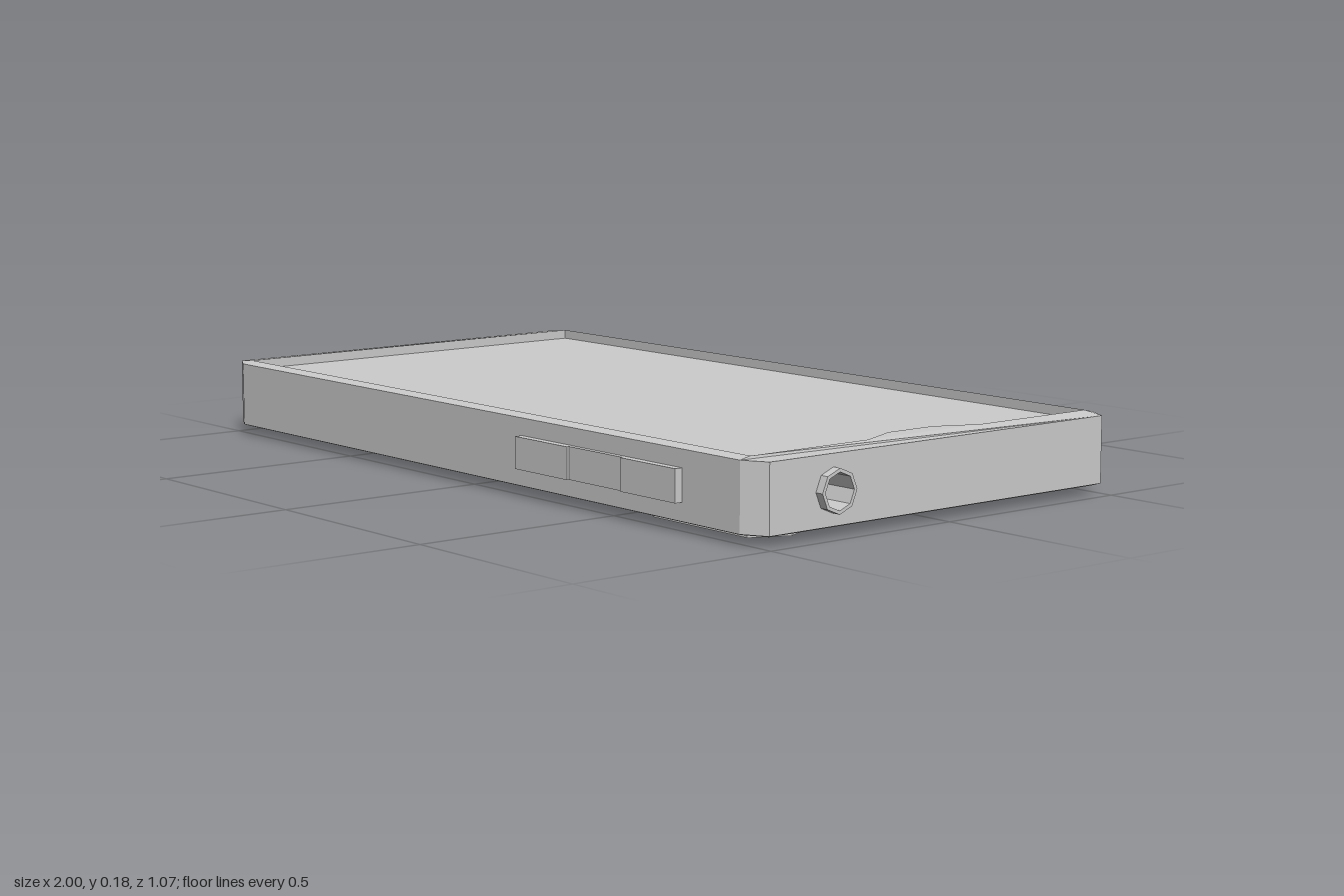
import * as THREE from 'three';

const material = new THREE.MeshStandardMaterial({ color: 0xcccccc, flatShading: true, side: THREE.DoubleSide });
const X0 = -1, X1 = 0.98, Z = 0.5175, ZEND = 0.487, CUT = 0.055; // case outline
const Y0 = 0.025, Y1 = 0.176, TOP = 0.182, BOTTOM = 0.02, SCREEN = 0.16;

function add(parent, name, geometry) {
  const mesh = new THREE.Mesh(geometry, material);
  mesh.name = name;
  parent.add(mesh);
  return mesh;
}

const toShape = (pts) => new THREE.Shape(pts.map(([x, y]) => new THREE.Vector2(x, y)));

function shapeWithHole(outer, hole) {
  const shape = toShape(outer);
  if (hole) shape.holes.push(new THREE.Path(hole.map(([x, y]) => new THREE.Vector2(x, y))));
  return shape;
}

// Band of quads between two matching counter-clockwise loops at heights za and zb
function band(a, za, b, zb, keep = () => true) {
  const pos = [];
  a.forEach((p, i) => {
    const j = (i + 1) % a.length;
    if (!keep(p, a[j])) return;
    const [A, B, C, D] = [[...p, za], [...a[j], za], [...b[j], zb], [...b[i], zb]];
    pos.push(...A, ...B, ...C, ...A, ...C, ...D);
  });
  const g = new THREE.BufferGeometry();
  g.setAttribute('position', new THREE.Float32BufferAttribute(pos, 3));
  g.computeVertexNormals();
  return g;
}

// Rectangle with clipped corners
const clipped = (x0, x1, h, hEnd, cut) => [
  [x1, -hEnd], [x1, hEnd], [x1 - cut, h], [x0 + cut, h],
  [x0, hEnd], [x0, -hEnd], [x0 + cut, -h], [x1 - cut, -h],
];

const octagon = (cx, cy, r) => Array.from({ length: 8 }, (_, i) => {
  const a = i * Math.PI / 4;
  return [cx + r * Math.cos(a), cy + r * Math.sin(a)];
});

// End wall with a blind hole; local +z points out of the case
function endWall(name, x, turn, hole, depth) {
  const group = new THREE.Group();
  group.name = name;
  const rect = [[-ZEND, Y0], [ZEND, Y0], [ZEND, Y1], [-ZEND, Y1]];
  add(group, name + 'Face', new THREE.ShapeGeometry(shapeWithHole(rect, hole)));
  add(group, name + 'HoleSides', band(hole, 0, hole, -depth));
  add(group, name + 'HoleFloor', new THREE.ShapeGeometry(toShape(hole)).translate(0, 0, -depth));
  group.position.x = x;
  group.rotation.y = turn;
  return group;
}

export function createModel() {
  const model = new THREE.Group();
  model.name = 'phoneCase';

  // Case shell, drawn in plan with height along z and then laid flat
  const shell = new THREE.Group();
  shell.name = 'shell';
  shell.rotation.x = -Math.PI / 2;
  model.add(shell);

  const outer = clipped(X0, X1, Z, ZEND, CUT);
  const under = clipped(X0 + 0.015, X1 - 0.015, Z - 0.015, ZEND - 0.012, CUT);
  const inner = [
    [0.925, -0.49], [0.925, -0.165], [0.88, -0.065], [0.88, 0.065],
    [0.925, 0.165], [0.925, 0.49], [-0.945, 0.49], [-0.945, -0.49],
  ];
  add(shell, 'sideWalls', band(outer, Y0, outer, Y1, (p, q) => p[0] !== q[0]));
  add(shell, 'bottomEdge', band(under, BOTTOM, outer, Y0));
  add(shell, 'backPanel', new THREE.ShapeGeometry(toShape(under)).rotateX(Math.PI).translate(0, 0, BOTTOM));

  // Rim rises slightly from the outer edge to the screen opening
  const rim = new THREE.ShapeGeometry(shapeWithHole(outer, inner));
  const p = rim.attributes.position;
  for (let i = 0; i < p.count; i++) {
    const outside = Math.abs(p.getY(i)) > 0.5 || p.getX(i) > 0.95 || p.getX(i) < -0.97;
    p.setZ(i, outside ? Y1 : TOP);
  }
  rim.computeVertexNormals();
  add(shell, 'rim', rim);
  add(shell, 'rimInnerWall', band(inner, TOP, inner, SCREEN));
  add(shell, 'screen', new THREE.ShapeGeometry(toShape(inner)).translate(0, 0, SCREEN));

  // Camera plate under the case
  const plate = [[0.515, -0.358], [0.565, -0.445], [0.865, -0.445], [0.905, -0.358], [0.865, -0.272], [0.565, -0.272]];
  add(shell, 'cameraPlate', new THREE.ExtrudeGeometry(toShape(plate), { depth: 0.03, bevelEnabled: false }));

  // End walls: round socket with collar, and charging slot
  const socketHole = octagon(-0.314, 0.1, 0.04);
  const socketEnd = endWall('socketEnd', X1, Math.PI / 2, socketHole, 0.06);
  add(socketEnd, 'socketCollar', new THREE.ExtrudeGeometry(
    shapeWithHole(octagon(-0.314, 0.1, 0.048), socketHole), { depth: 0.02, bevelEnabled: false }));
  const slot = clipped(-0.085, 0.085, 0.025, 0.013, 0.012).map(([x, y]) => [x, y + 0.105]);
  model.add(socketEnd, endWall('slotEnd', X0, -Math.PI / 2, slot, 0.05));

  // Side buttons: [name, x start, x end, y bottom, y top, outer z]
  [
    ['volumeDownButton', 0.2, 0.385, 0.065, 0.137, 0.536],
    ['volumeMiddle', 0.385, 0.565, 0.065, 0.137, 0.53],
    ['volumeUpButton', 0.565, 0.745, 0.065, 0.137, 0.536],
    ['powerButton', 0.425, 0.74, 0.073, 0.127, -0.535],
  ].forEach(([name, xa, xb, ya, yb, z]) => {
    const depth = Math.abs(z) - 0.5;
    add(model, name, new THREE.BoxGeometry(xb - xa, yb - ya, depth))
      .position.set((xa + xb) / 2, (ya + yb) / 2, Math.sign(z) * (0.5 + depth / 2));
  });

  return model;
}
